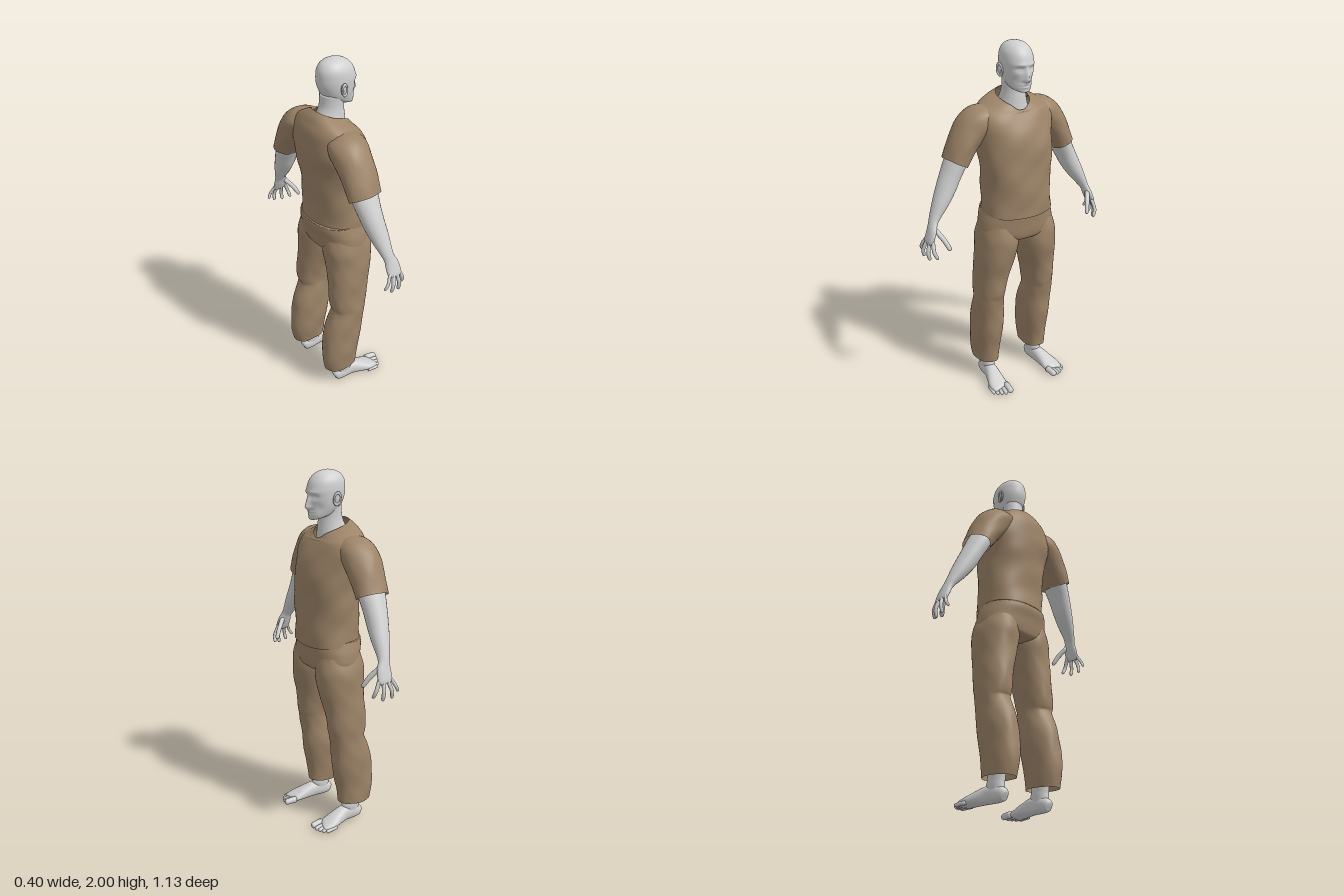
import * as THREE from 'three';

const skin = new THREE.MeshStandardMaterial({ color: 0xd0d0d0 });
skin.name = 'skin';
const cloth = new THREE.MeshStandardMaterial({ color: 0x9d8468, side: THREE.DoubleSide });
cloth.name = 'brown cloth';

const X = new THREE.Vector3(1, 0, 0), Y = new THREE.Vector3(0, 1, 0);
const gauss = (d, w) => Math.exp(-(d * d) / (w * w));

// Smooth interpolation between cross-section rows
function refine(rows, sub) {
  const out = [], last = rows.length - 1;
  for (let i = 0; i < last; i++) {
    const [p, q, r, s] = [rows[Math.max(i - 1, 0)], rows[i], rows[i + 1], rows[Math.min(i + 2, last)]];
    for (let k = 0; k < sub; k++) {
      const t = k / sub;
      out.push(q.map((v, j) => v + 0.5 * t * (r[j] - p[j] +
        t * (2 * p[j] - 5 * v + 4 * r[j] - s[j] + t * (3 * (v - r[j]) + s[j] - p[j])))));
    }
  }
  out.push(rows[last]);
  return out;
}

// Loft of rounded rings. Row: x, y, z, half size along axis, half size across, tilt.
function loft(name, material, rows, { axis = X, level = false, n = 24, sub = 4, p = 2, caps = true, rule } = {}) {
  const R = refine(rows, sub), pos = [], idx = [], at = (i) => new THREE.Vector3(...R[i].slice(0, 3));
  const end = R.length - 1;
  R.forEach(([, , , a, b, tilt = 0], i) => {
    const T = level ? Y.clone() : at(Math.min(i + 1, end)).sub(at(Math.max(i - 1, 0))).normalize();
    const A = axis.clone().addScaledVector(T, -axis.dot(T)).normalize();
    const B = T.clone().cross(A);
    for (let j = 0; j < n; j++) {
      const th = (j / n) * Math.PI * 2, c = Math.cos(th), s = Math.sin(th);
      const v = at(i)
        .addScaledVector(A, Math.max(a, 0.001) * Math.sign(c) * Math.abs(c) ** (2 / p))
        .addScaledVector(B, Math.max(b, 0.001) * Math.sign(s) * Math.abs(s) ** (2 / p));
      v.y += tilt * c;
      if (rule) rule(v, th, i / end);
      pos.push(v.x, v.y, v.z);
      if (i < end) {
        const k = i * n + j, m = i * n + ((j + 1) % n);
        idx.push(k, m, m + n, k, m + n, k + n);
      }
    }
  });
  if (caps) {
    [0, end].forEach((i) => {
      const c = pos.length / 3;
      const mid = at(i);
      pos.push(mid.x, mid.y, mid.z);
      for (let j = 0; j < n; j++) {
        const k = i * n + j, m = i * n + ((j + 1) % n);
        idx.push(...(i ? [k, m, c] : [m, k, c]));
      }
    });
  }
  const g = new THREE.BufferGeometry();
  g.setAttribute('position', new THREE.Float32BufferAttribute(pos, 3));
  g.setIndex(idx);
  g.computeVertexNormals();
  const mesh = new THREE.Mesh(g, material);
  mesh.name = name;
  return mesh;
}

// Soft folds in the cloth
const folds = (amp, f) => (v, th) => {
  const w = amp * (Math.sin(v.y * f + 3 * th) + 0.6 * Math.sin(v.y * f * 1.7 - 5 * th + v.z * 9));
  v.x += w * Math.cos(th);
  v.z -= w * Math.sin(th);
};

// Face: nose, eye sockets, brow, lips and chin pushed out of the head surface
function face(v) {
  if (v.x < 0.04) return;
  const { y, z } = v, az = Math.abs(z);
  const down = y > 1.812 ? Math.max(0, (1.882 - y) / 0.07) : Math.max(0, (y - 1.79) / 0.022);
  v.x += 0.029 * down * gauss(z, 0.009 + 0.008 * down);
  v.x -= 0.014 * gauss(az - 0.034, 0.02) * gauss(y - 1.868, 0.013);
  v.x += 0.006 * gauss(az - 0.034, 0.013) * gauss(y - 1.866, 0.008);
  v.x += 0.005 * gauss(az - 0.03, 0.03) * gauss(y - 1.89, 0.01);
  v.x += 0.008 * gauss(z, 0.026) * (gauss(y - 1.789, 0.006) + gauss(y - 1.774, 0.006));
  v.x += 0.005 * gauss(z, 0.025) * gauss(y - 1.752, 0.012);
  v.x -= 0.007 * gauss(az - 0.055, 0.016) * gauss(y - 1.81, 0.025);
}

function digit(name, pts, r, s, axis) {
  const [a, b, c] = pts.map(([x, y, z]) => new THREE.Vector3(x, y, z * s));
  const d = b.clone().lerp(c, 0.8);
  const rows = [[a, 1], [b, 0.95], [d, 0.85], [c, 0.35]].map(([q, k]) => [q.x, q.y, q.z, r * k, r * k]);
  return loft(name, skin, rows, { axis, n: 10, sub: 3 });
}

export function createModel() {
  const model = new THREE.Group();
  model.name = 'standingMan';

  // Head and neck
  model.add(loft('head', skin, [
    [0.035, 1.762, 0, 0.045, 0.035, -0.014], [0.03, 1.772, 0, 0.073, 0.055, -0.022],
    [0.02, 1.8, 0, 0.088, 0.069, -0.014], [0.016, 1.83, 0, 0.096, 0.077, -0.004],
    [0.012, 1.87, 0, 0.105, 0.082, 0], [0.01, 1.905, 0, 0.106, 0.083, 0],
    [0.005, 1.945, 0, 0.097, 0.077, 0], [0.001, 1.975, 0, 0.075, 0.06, 0],
    [0, 1.992, 0, 0.045, 0.036, 0], [0, 2, 0, 0.006, 0.005, 0],
  ], { level: true, n: 96, sub: 8, p: 2.1, rule: face }));
  model.add(loft('neck', skin, [
    [-0.02, 1.6, 0, 0.09, 0.1, 0], [-0.025, 1.66, 0, 0.083, 0.083, -0.02],
    [-0.02, 1.71, 0, 0.073, 0.068, -0.015], [-0.016, 1.76, 0, 0.064, 0.062, 0],
    [-0.01, 1.82, 0, 0.065, 0.065, 0],
  ], { level: true, n: 32 }));

  // Shirt body with a V neck
  const shirtFolds = folds(0.003, 22);
  model.add(loft('shirtBody', cloth, [
    [0.005, 1.085, 0, 0.156, 0.198, -0.014], [0.006, 1.2, 0, 0.155, 0.194, 0],
    [0, 1.35, 0, 0.16, 0.2, 0], [-0.01, 1.45, 0, 0.164, 0.212, 0],
    [-0.025, 1.53, 0, 0.16, 0.222, 0], [-0.034, 1.6, 0, 0.144, 0.225, -0.008],
    [-0.04, 1.65, 0, 0.127, 0.205, -0.015], [-0.035, 1.685, 0, 0.108, 0.145, -0.03],
    [-0.025, 1.708, 0, 0.09, 0.085, -0.035],
  ], {
    level: true, n: 64, sub: 5, p: 2.3, caps: false,
    rule: (v, th, t) => {
      if (t < 0.8) shirtFolds(v, th);
      v.y -= 0.028 * t ** 8 * Math.max(0, Math.cos(th)) ** 8;
    },
  }));

  // Trouser seat
  model.add(loft('trouserSeat', cloth, [
    [0, 0.915, 0, 0.07, 0.06], [0, 0.935, 0, 0.125, 0.165], [0, 0.97, 0, 0.14, 0.218],
    [-0.002, 1.03, 0, 0.148, 0.217], [-0.006, 1.075, 0, 0.156, 0.205], [-0.008, 1.105, 0, 0.153, 0.196],
  ], { level: true, n: 48, p: 2.3 }));

  for (const s of [1, -1]) {
    const side = new THREE.Group();
    side.name = s > 0 ? 'rearSideLimbs' : 'nearSideLimbs';
    side.name = s > 0 ? 'limbsPositiveZ' : 'limbsNegativeZ';
    const M = (rows) => rows.map(([x, y, z, ...r]) => [x, y, z * s, ...r]);

    // Sleeve
    side.add(loft('sleeve', cloth, M([
      [-0.05, 1.615, 0.13, 0.09, 0.06], [-0.055, 1.595, 0.19, 0.105, 0.083],
      [-0.06, 1.55, 0.24, 0.103, 0.088], [-0.06, 1.48, 0.29, 0.098, 0.077],
      [-0.058, 1.388, 0.338, 0.093, 0.066],
    ]), { n: 32, caps: false, rule: folds(0.0025, 30) }));

    // Arm and palm
    side.add(loft('arm', skin, M([
      [-0.06, 1.47, 0.285, 0.07, 0.058], [-0.06, 1.4, 0.328, 0.076, 0.058],
      [-0.056, 1.32, 0.37, 0.066, 0.055], [-0.05, 1.26, 0.4, 0.059, 0.053],
      [-0.04, 1.19, 0.44, 0.05, 0.044], [-0.03, 1.12, 0.482, 0.036, 0.029],
      [-0.022, 1.085, 0.5, 0.033, 0.022], [-0.013, 1.045, 0.515, 0.042, 0.02],
      [-0.01, 1.0, 0.533, 0.042, 0.015], [-0.01, 0.985, 0.538, 0.032, 0.008],
    ])));

    // Fingers and thumb
    [
      ['thumb', [[0.005, 1.06, 0.5], [0.045, 1.01, 0.472], [0.075, 0.955, 0.45]], 0.014],
      ['indexFinger', [[0.02, 1.01, 0.525], [0.044, 0.955, 0.532], [0.053, 0.912, 0.515]], 0.011],
      ['middleFinger', [[0, 1.005, 0.532], [0.01, 0.945, 0.55], [0.01, 0.897, 0.542]], 0.011],
      ['ringFinger', [[-0.02, 1.005, 0.535], [-0.035, 0.95, 0.556], [-0.042, 0.904, 0.55]], 0.0105],
      ['littleFinger', [[-0.038, 1.015, 0.53], [-0.065, 0.965, 0.55], [-0.083, 0.932, 0.545]], 0.009],
    ].forEach(([name, pts, r]) => side.add(digit(name, pts, r, s, X)));

    // Trouser leg
    side.add(loft('trouserLeg', cloth, M([
      [0, 1.02, 0.115, 0.125, 0.095], [0, 0.94, 0.12, 0.139, 0.113], [-0.003, 0.85, 0.132, 0.133, 0.108],
      [-0.015, 0.72, 0.152, 0.119, 0.092], [-0.025, 0.6, 0.164, 0.113, 0.081],
      [-0.026, 0.53, 0.165, 0.1, 0.08], [-0.055, 0.4, 0.16, 0.118, 0.085],
      [-0.078, 0.25, 0.162, 0.116, 0.077], [-0.076, 0.125, 0.165, 0.1, 0.066],
    ]), { n: 40, sub: 5, p: 2.2, caps: false, rule: folds(0.003, 24) }));

    // Ankle, foot and toes
    side.add(loft('ankle', skin, M([
      [-0.06, 0.03, 0.165, 0.05, 0.032], [-0.052, 0.09, 0.165, 0.055, 0.037],
      [-0.057, 0.13, 0.165, 0.052, 0.037], [-0.07, 0.28, 0.165, 0.058, 0.047],
    ]), { level: true }));
    side.add(loft('foot', skin, M([
      [-0.121, 0.035, 0.165, 0.012, 0.012], [-0.112, 0.038, 0.165, 0.031, 0.027],
      [-0.075, 0.045, 0.165, 0.042, 0.036], [-0.01, 0.05, 0.168, 0.046, 0.037],
      [0.05, 0.04, 0.178, 0.037, 0.045], [0.1, 0.029, 0.187, 0.026, 0.053],
      [0.135, 0.022, 0.189, 0.018, 0.05], [0.15, 0.019, 0.186, 0.01, 0.04],
    ]), { axis: Y, p: 2.3 }));
    [[0.152, 0.203, 0.019], [0.18, 0.197, 0.013], [0.202, 0.188, 0.012], [0.222, 0.175, 0.0115], [0.239, 0.157, 0.011]]
      .forEach(([z, tip, r], i) => side.add(digit('toe' + (i + 1),
        [[tip - 0.07, r + 0.006, z - 0.004], [tip - 0.03, r + 0.004, z], [tip, r, z + 0.003]], r, s, Y)));

    // Ear: shell and raised rim
    const ear = new THREE.Group();
    ear.name = 'ear';
    const shell = new THREE.Mesh(new THREE.SphereGeometry(1, 16, 12), skin);
    shell.name = 'earShell';
    shell.scale.set(0.019, 0.033, 0.01);
    const rim = new THREE.Mesh(new THREE.TorusGeometry(0.018, 0.005, 8, 24), skin);
    rim.name = 'earRim';
    rim.scale.y = 1.65;
    rim.position.z = 0.007 * s;
    ear.add(shell, rim);
    ear.position.set(-0.004, 1.858, 0.086 * s);
    ear.rotation.set(0, 0.3 * s, 0.15);
    side.add(ear);
    model.add(side);
  }
  return model;
}
